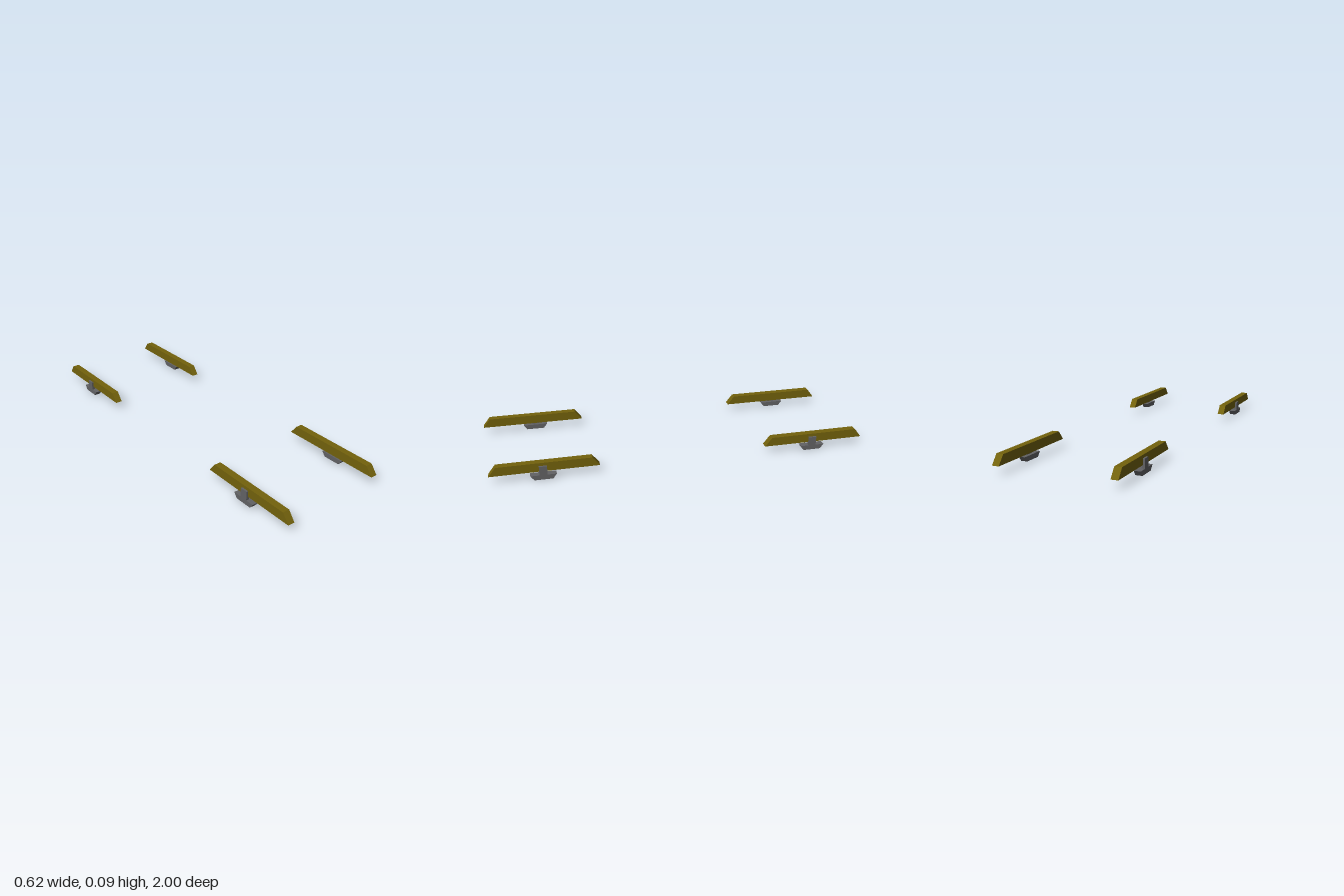
import * as THREE from 'three';

const wood = new THREE.MeshStandardMaterial({ color: 0x73620c, flatShading: true });
const metal = new THREE.MeshStandardMaterial({ color: 0x626264, flatShading: true });

// Bar along z with a trapezoid side profile, from x0 to x1 and y0 to y1
function trapezoidBar(name, material, x0, x1, y0, y1, bottomLength, topLength) {
  const b = bottomLength / 2, t = topLength / 2;
  const shape = new THREE.Shape([
    new THREE.Vector2(-b, y0), new THREE.Vector2(b, y0),
    new THREE.Vector2(t, y1), new THREE.Vector2(-t, y1),
  ]);
  const geometry = new THREE.ExtrudeGeometry(shape, { depth: x1 - x0, bevelEnabled: false });
  geometry.rotateY(Math.PI / 2);
  geometry.translate(x0, 0, 0);
  const mesh = new THREE.Mesh(geometry, material);
  mesh.name = name;
  return mesh;
}

// One beam with its outer bracket, built for the +x side
function createRail(beamZ, bracketZ) {
  const rail = new THREE.Group();
  const beam = trapezoidBar('beam', wood, 0.266, 0.302, 0.041, 0.088, 0.547, 0.474);
  beam.position.z = beamZ;

  const bracket = new THREE.Group();
  bracket.name = 'bracket';
  bracket.position.z = bracketZ;
  bracket.add(
    trapezoidBar('bracketFoot', metal, 0.278, 0.312, 0, 0.025, 0.092, 0.13),
    trapezoidBar('bracketStem', metal, 0.295, 0.312, 0.025, 0.072, 0.04, 0.04),
  );
  rail.add(beam, bracket);
  return rail;
}

export function createModel() {
  const model = new THREE.Group();
  model.name = 'railSet';

  // Left pair, then the same pair turned half a circle for the right side
  for (const [side, turn] of [['left', 0], ['right', Math.PI]]) {
    const pair = new THREE.Group();
    pair.name = side + 'Rails';
    const inner = createRail(0.698, 0.707);
    const outer = createRail(-0.7265, -0.716);
    inner.name = side + (turn ? 'Back' : 'Front') + 'Rail';
    outer.name = side + (turn ? 'Front' : 'Back') + 'Rail';
    pair.add(inner, outer);
    pair.rotation.y = turn;
    model.add(pair);
  }
  return model;
}
